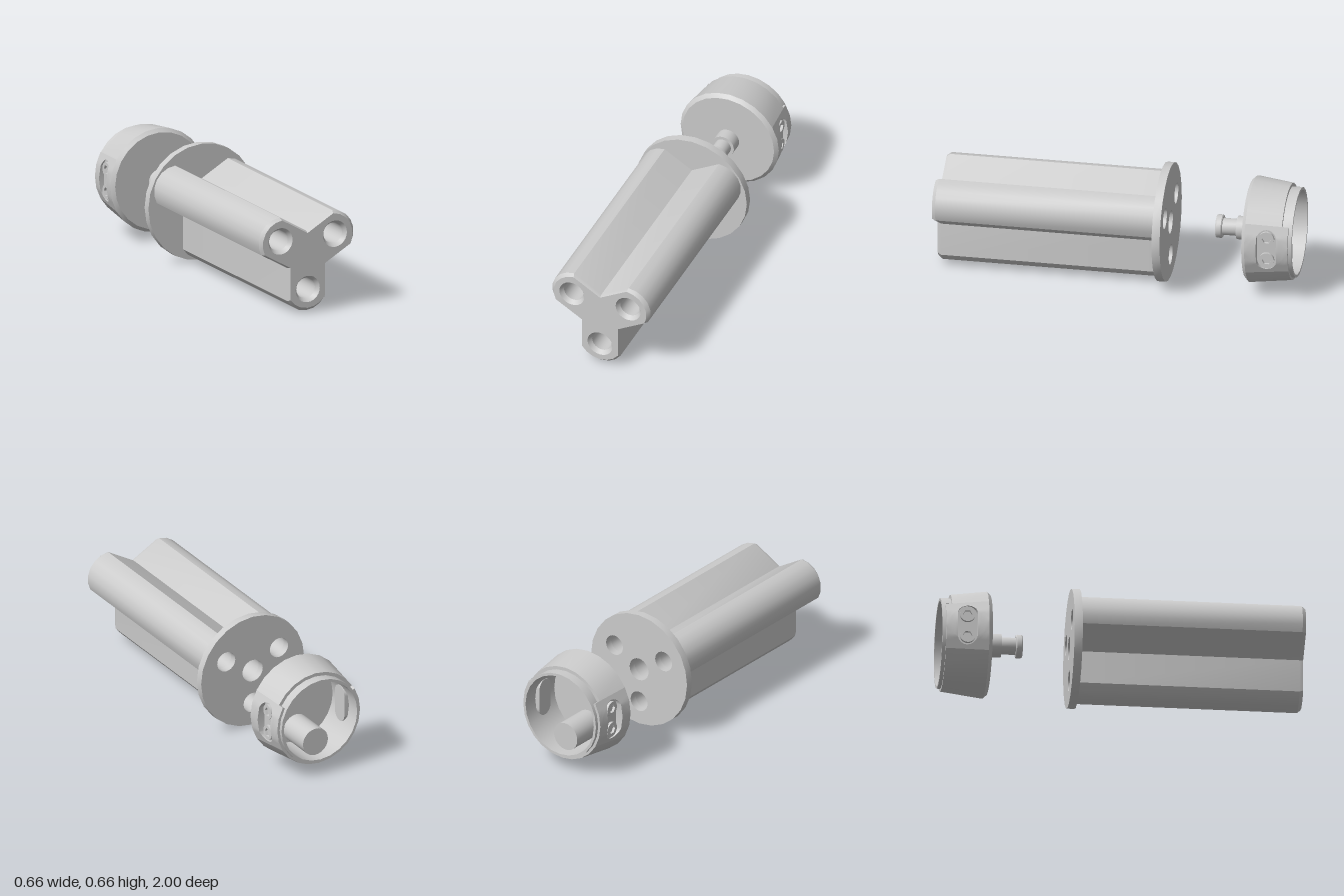
import * as THREE from 'three';
import { toCreasedNormals } from 'three/addons/utils/BufferGeometryUtils.js';

const RAD = Math.PI / 180;
const solid = new THREE.MeshStandardMaterial({ color: 0xcccccc });
const shell = new THREE.MeshStandardMaterial({ color: 0xcccccc, side: THREE.DoubleSide });

function part(parent, name, geometry, material = solid) {
  const mesh = new THREE.Mesh(toCreasedNormals(geometry, 0.5), material);
  mesh.name = name;
  parent.add(mesh);
  return mesh;
}

// Turned shape about the z axis; points are [radius, z], angles in degrees from +x
function turned(points, from = 0, sweep = 360, step = 15) {
  const pts = points.map(([r, z]) => new THREE.Vector2(r, z));
  return new THREE.LatheGeometry(pts, sweep / step, (from + 90) * RAD, sweep * RAD).rotateX(Math.PI / 2);
}

// Skin through closed loops of [x, y, z] points
function loft(loops) {
  const n = loops[0].length, index = [];
  for (let j = 0; j < loops.length - 1; j++) {
    for (let i = 0; i < n; i++) {
      const a = j * n + i, b = j * n + (i + 1) % n;
      index.push(a, b, a + n, b, b + n, a + n);
    }
  }
  const g = new THREE.BufferGeometry();
  g.setAttribute('position', new THREE.Float32BufferAttribute(loops.flat(2), 3));
  g.setIndex(index);
  return g;
}

function circle(x, y, r) {
  return new THREE.Path().absarc(x, y, r, 0, Math.PI * 2);
}

function extrude(shape, depth) {
  return new THREE.ExtrudeGeometry(shape, { depth, bevelEnabled: false, curveSegments: 12 });
}

// Upright slot shape with round ends
function slot(half, r) {
  const s = new THREE.Shape();
  s.absarc(0, half, r, 0, Math.PI);
  s.absarc(0, -half, r, Math.PI, Math.PI * 2);
  return s;
}

// Three-lobed outline: half width, reach and bulge of each lobe
function lobes(w, reach, bulge) {
  const R = (w * w + bulge * bulge) / (2 * bulge), half = Math.asin(w / R);
  const pts = [];
  for (let k = 0; k < 3; k++) {
    const local = [];
    for (let i = 0; i <= 6; i++) {
      const a = half * (i / 3 - 1);
      local.push([R * Math.sin(a), R - reach - R * Math.cos(a)]);
    }
    const d = w / Math.sin(60 * RAD);
    local.push([d * Math.cos(-30 * RAD), d * Math.sin(-30 * RAD)]);
    const c = Math.cos(120 * k * RAD), s = Math.sin(120 * k * RAD);
    local.forEach(([x, y]) => pts.push([x * c - y * s, x * s + y * c]));
  }
  return pts;
}

// Cap wall radius, tapering towards the back
const BACK = -0.98, FRONT = -0.745, STEP = -0.945;
const wallRadius = (z) => 0.265 + 0.03 * (z - BACK) / (FRONT - BACK);

// Side of the cap wall with a flat-bottomed slot pocket
function pocketWall() {
  const perSide = 12, loops = [[], [], [], [], [], [], []];
  const mid = (BACK + FRONT) / 2, floorX = 0.243;
  for (let i = 0; i < 4 * perSide; i++) {
    const s = (i % perSide) / perSide * 2 - 1;
    const [u, v] = [[1, s], [-s, 1], [-1, -s], [s, -1]][Math.floor(i / perSide)];
    const t = Math.atan2(v, u);
    const y = Math.sign(Math.round(u * 100)) * 0.063 + 0.055 * Math.cos(t);
    const z = mid + 0.055 * Math.sin(t);
    const slotAngle = Math.asin(y / wallRadius(z));
    for (let j = 0; j < 5; j++) {
      const a = THREE.MathUtils.lerp(u * 30 * RAD, slotAngle, j / 4);
      const zz = THREE.MathUtils.lerp(mid + v * (FRONT - BACK) / 2, z, j / 4);
      const facet = THREE.MathUtils.euclideanModulo(a, 15 * RAD) - 7.5 * RAD;
      const r = wallRadius(zz) * Math.cos(7.5 * RAD) / Math.cos(facet);
      loops[j].push([r * Math.cos(a), r * Math.sin(a), zz]);
    }
    loops[5].push([floorX, y, z]);
    loops[6].push([floorX, 0, mid]);
  }
  return loft(loops);
}

export function createModel() {
  const model = new THREE.Group();
  model.name = 'lobedHolderWithCap';
  const axis = new THREE.Group();
  axis.name = 'axisAssembly';
  axis.position.y = 0.33;
  model.add(axis);

  const bores = [-90, 30, 150].map((a) => [0.195 * Math.cos(a * RAD), 0.195 * Math.sin(a * RAD)]);

  // Three-lobed body with chamfered front edge
  const body = new THREE.Group();
  body.name = 'body';
  axis.add(body);
  const outer = lobes(0.115, 0.32, 0.065), inner = lobes(0.107, 0.302, 0.057);
  const at = (pts, z) => pts.map(([x, y]) => [x, y, z]);
  part(body, 'bodyWall', loft([at(outer, -0.235), at(outer, 0.98), at(inner, 1)]));
  const face = new THREE.Shape(inner.map(([x, y]) => new THREE.Vector2(x, y)));
  bores.forEach(([x, y]) => face.holes.push(circle(x, y, 0.075)));
  part(body, 'frontFace', new THREE.ShapeGeometry(face, 12).translate(0, 0, 1));
  bores.forEach(([x, y]) => {
    part(body, 'bore', turned([[0.075, 1], [0.058, 0.975], [0.058, -0.235]]).translate(x, y, 0), shell);
  });

  // Flange plate with holes, and the blind socket behind its middle hole
  const plate = new THREE.Shape().absarc(0, 0, 0.33, 0, Math.PI * 2);
  plate.holes.push(circle(0, 0, 0.065), ...bores.map(([x, y]) => circle(x, y, 0.058)));
  part(axis, 'flange', extrude(plate, 0.045).translate(0, 0, -0.28));
  part(axis, 'shaftSocket', turned([[0, -0.05], [0.065, -0.05], [0.065, -0.235]]), shell);

  // Cap: floor, inner wall and lip, then front face
  const cap = new THREE.Group();
  cap.name = 'cap';
  axis.add(cap);
  part(cap, 'capLiner', turned([[0, -0.74], [0.235, -0.74], [0.235, -1], [0.25, -1], [0.25, -0.94]]), shell);
  part(cap, 'capFront', turned([[0.295, FRONT], [0.275, -0.725], [0, -0.725]]));

  // Outer wall, stepped back across the top
  const wall = (end) => [[0.25, end], [wallRadius(end), end], [0.295, FRONT]];
  part(cap, 'capWallTop', turned(wall(STEP), 30, 120), shell);
  part(cap, 'capWallBottom', turned(wall(BACK), 210, 120), shell);
  for (const side of [0, 180]) {
    const flank = new THREE.Group();
    flank.name = side ? 'rightFlank' : 'leftFlank';
    flank.rotation.z = side * RAD;
    cap.add(flank);
    part(flank, 'pocketWall', pocketWall(), shell);
    part(flank, 'flankEdge', turned(wall(BACK).slice(0, 2), -30, 60), shell);

    // Socket screws in the pocket
    for (const y of [-0.063, 0.063]) {
      const head = new THREE.Shape().absarc(0, 0, 0.042, 0, Math.PI * 2);
      const hex = [0, 1, 2, 3, 4, 5].map((i) =>
        new THREE.Vector2(0.026 * Math.cos(i * 60 * RAD), 0.026 * Math.sin(i * 60 * RAD)));
      head.holes.push(new THREE.Path(hex));
      part(flank, 'screw', extrude(head, 0.015).rotateY(Math.PI / 2).translate(0.243, y, -0.8625));
    }
    // Backing plate inside the cap
    part(flank, 'backingPlate', extrude(slot(0.058, 0.05), 0.03).rotateY(Math.PI / 2).translate(0.205, 0, -0.8625));

    // Small end face where the wall steps back
    const step = new THREE.PlaneGeometry(0.018, STEP - BACK).rotateX(Math.PI / 2);
    step.translate(0.259, 0, (STEP + BACK) / 2).rotateZ((side ? -30 : 30) * RAD);
    part(flank, 'stepFace', step, shell);
  }

  // Peg standing on the cap floor
  part(cap, 'peg', turned([[0, -0.946], [0.08, -0.946], [0.08, -0.74]]).translate(0, -0.15, 0));

  // Shaft with a grooved, chamfered tip
  part(axis, 'shaft', turned([
    [0.065, -0.725], [0.065, -0.655], [0.047, -0.655], [0.047, -0.575],
    [0.06, -0.575], [0.065, -0.57], [0.065, -0.545], [0.06, -0.538], [0, -0.538],
  ]));

  return model;
}
